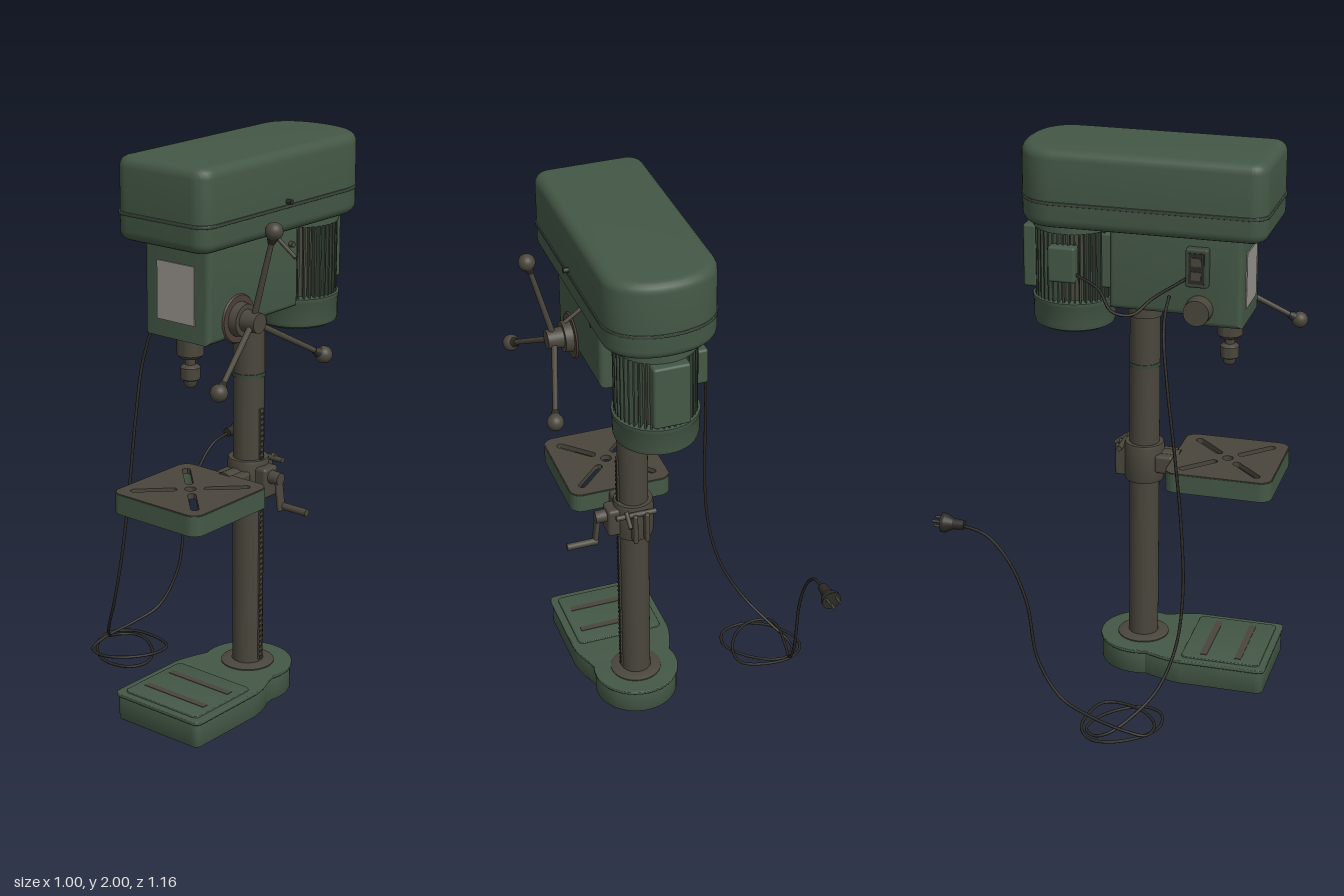
import * as THREE from 'three';
import { toCreasedNormals } from 'three/addons/utils/BufferGeometryUtils.js';
import { RoundedBoxGeometry } from 'three/addons/geometries/RoundedBoxGeometry.js';

const paint = (name, color) => Object.assign(new THREE.MeshStandardMaterial({ color }), { name });
const V = (x, y, z) => new THREE.Vector3(x, y, z);

export function createModel() {
  const green = paint('green enamel', 0x445846);
  const darkGreen = paint('dark green', 0x3b483b);
  const metal = paint('worn metal', 0x4a463c);
  const rust = paint('rust', 0x4d4037);
  const black = paint('black rubber', 0x2b2a26);
  const label = paint('label grey', 0x99948f);

  const model = new THREE.Group();
  model.name = 'drillPress';
  const machine = new THREE.Group();
  machine.name = 'machine';
  machine.position.x = 0.18;
  model.add(machine);

  const add = (name, geo, mat, x = 0, y = 0, z = 0, parent = machine) => {
    const m = new THREE.Mesh(geo, mat);
    m.name = name;
    m.position.set(x, y, z);
    parent.add(m);
    return m;
  };
  const box = (name, w, h, d, mat, x, y, z, r = 0) =>
    add(name, r ? new RoundedBoxGeometry(w, h, d, 3, r) : new THREE.BoxGeometry(w, h, d), mat, x, y, z);
  const rod = (name, a, b, r0, r1, mat, parent = machine, sides = 20) => {
    const d = b.clone().sub(a);
    const m = add(name, new THREE.CylinderGeometry(r1, r0, d.length(), sides), mat, 0, 0, 0, parent);
    m.position.copy(a).addScaledVector(d, 0.5);
    m.quaternion.setFromUnitVectors(V(0, 1, 0), d.normalize());
    return m;
  };
  const lathe = (name, pts, mat, x, y, z, sides = 40) => add(name, toCreasedNormals(
    new THREE.LatheGeometry(pts.map(p => new THREE.Vector2(...p)), sides), 0.6), mat, x, y, z);
  // Plan shape (x, z) extruded between two heights with rounded edges
  const slab = (name, shape, top, bottom, bevel, mat) => {
    const geo = new THREE.ExtrudeGeometry(shape, {
      depth: top - bottom - 2 * bevel, bevelEnabled: bevel > 0, bevelSize: bevel,
      bevelThickness: bevel, bevelOffset: -bevel, bevelSegments: 5, curveSegments: 16 });
    geo.rotateX(Math.PI / 2).translate(0, top - bevel, 0);
    return add(name, toCreasedNormals(geo, 0.6), mat);
  };
  const roundRect = (x0, x1, z0, z1, r, s = new THREE.Shape()) => {
    s.absarc(x1 - r, z0 + r, r, -Math.PI / 2, 0);
    s.absarc(x1 - r, z1 - r, r, 0, Math.PI / 2);
    s.absarc(x0 + r, z1 - r, r, Math.PI / 2, Math.PI);
    s.absarc(x0 + r, z0 + r, r, Math.PI, Math.PI * 1.5);
    s.closePath();
    return s;
  };
  const cz = 0.045; // column axis

  // Base: square front running into a round column foot
  const basePlan = (o) => {
    const s = new THREE.Shape(), w = 0.192 - o, f = 0.55 - o, r = 0.03;
    s.moveTo(-w, 0.24);
    s.lineTo(-w, f - r);
    s.quadraticCurveTo(-w, f, -w + r, f);
    s.lineTo(w - r, f);
    s.quadraticCurveTo(w, f, w, f - r);
    s.lineTo(w, 0.24);
    s.quadraticCurveTo(w, 0.19, 0.16 - o, 0.12);
    s.absarc(0, cz, 0.16 - o, 0.3, -Math.PI - 0.3, true);
    s.quadraticCurveTo(-w, 0.19, -w, 0.24);
    return s;
  };
  slab('base', basePlan(0.006), 0.092, 0, 0.004, green);
  slab('baseLip', basePlan(0), 0.1, 0.086, 0.004, green);
  slab('baseWorktop', roundRect(-0.165, 0.165, 0.23, 0.525, 0.02), 0.106, 0.095, 0.003, green);
  for (const z of [0.31, 0.44]) box('baseSlot', 0.27, 0.006, 0.025, metal, 0, 0.105, z);
  lathe('columnFoot', [[0.095, 0.095], [0.095, 0.104], [0.072, 0.112], [0.056, 0.112]], metal, 0, 0, cz);

  // Column, toothed rack and collars
  add('column', new THREE.CylinderGeometry(0.055, 0.055, 1.35, 40), metal, 0, 0.765, cz);
  add('columnCollar', new THREE.CylinderGeometry(0.058, 0.058, 0.014, 40), darkGreen, 0, 1.19, cz);
  add('columnSocket', new THREE.CylinderGeometry(0.062, 0.062, 0.07, 40), metal, 0, 1.41, cz);
  box('rack', 0.012, 0.95, 0.018, metal, 0.054, 0.595, cz);
  for (let y = 0.13; y < 1.07; y += 0.02) box('rackTooth', 0.004, 0.009, 0.017, black, 0.0605, y, cz);

  // Work table: slotted top with an open underside
  const tableTop = roundRect(-0.188, 0.188, 0.165, 0.55, 0.04);
  const tz = 0.357;
  for (let i = 0; i < 4; i++) {
    const a = Math.PI / 4 + i * Math.PI / 2, c = Math.cos(a), s = Math.sin(a), h = new THREE.Path();
    h.absarc(c * 0.19, tz + s * 0.19, 0.014, a - Math.PI / 2, a + Math.PI / 2);
    h.absarc(c * 0.06, tz + s * 0.06, 0.014, a + Math.PI / 2, a + Math.PI * 1.5);
    h.closePath();
    tableTop.holes.push(h);
  }
  tableTop.holes.push(new THREE.Path().absarc(0, tz, 0.02, 0, Math.PI * 2));
  slab('tableTop', tableTop, 0.85, 0.83, 0, metal);
  const rim = roundRect(-0.191, 0.191, 0.162, 0.553, 0.043);
  rim.holes.push(roundRect(-0.176, 0.176, 0.177, 0.538, 0.03, new THREE.Path()));
  slab('tableRim', rim, 0.847, 0.777, 0, green);
  rod('tableArm', V(0, 0.818, 0.09), V(0, 0.818, 0.18), 0.04, 0.04, metal);
  box('tableArmBlock', 0.11, 0.07, 0.07, metal, 0, 0.815, 0.13, 0.012);

  // Table bracket, crank and lock lever
  lathe('tableBracket', [[0.054, 0.74], [0.07, 0.74], [0.073, 0.75], [0.073, 0.875], [0.07, 0.885], [0.054, 0.885]], metal, 0, 0, cz);
  box('bracketGearHousing', 0.06, 0.11, 0.075, metal, 0.075, 0.81, cz, 0.012);
  rod('crankShaft', V(0.09, 0.83, cz), V(0.145, 0.83, cz), 0.025, 0.022, metal);
  const crankArm = box('crankArm', 0.016, 0.135, 0.034, metal, 0.14, 0.782, cz, 0.006);
  crankArm.rotation.z = 0.12;
  rod('crankHandle', V(0.14, 0.73, 0.037), V(0.255, 0.73, 0.037), 0.013, 0.013, metal);
  for (const x of [-0.022, 0.022]) box('clampEar', 0.016, 0.12, 0.045, metal, x, 0.81, -0.035, 0.005);
  rod('clampBolt', V(-0.06, 0.865, -0.035), V(0.09, 0.865, -0.035), 0.01, 0.01, metal);
  rod('clampLever', V(0.05, 0.88, -0.03), V(0.05, 0.842, -0.08), 0.008, 0.008, metal);

  // Belt cover with its seam band
  const coverPlan = (o) => {
    const s = new THREE.Shape(), w = 0.198 + o, f = 0.515 + o, b = -0.392 - o, r = 0.06;
    s.moveTo(-w, -0.24);
    s.bezierCurveTo(-w, -0.34, -0.11, b, 0, b);
    s.bezierCurveTo(0.11, b, w, -0.34, w, -0.24);
    s.lineTo(w, f - r);
    s.absarc(w - r, f - r, r, 0, Math.PI / 2);
    s.absarc(-w + r, f - r, r, Math.PI / 2, Math.PI);
    s.closePath();
    return s;
  };
  slab('beltCover', coverPlan(-0.002), 2, 1.72, 0.035, green);
  slab('coverSeam', coverPlan(0.002), 1.819, 1.807, 0.002, darkGreen);
  rod('coverLatch', V(0.19, 1.83, 0.09), V(0.215, 1.83, 0.09), 0.009, 0.009, black);

  // Head casting, side profile extruded across
  const head = new THREE.Shape();
  [[0.425, 1.74], [0.425, 1.395], [0.27, 1.395], [0.22, 1.432], [-0.05, 1.432], [-0.05, 1.74]]
    .forEach(([z, y], i) => (i ? head.lineTo(-z, y) : head.moveTo(-z, y)));
  const headGeo = new THREE.ExtrudeGeometry(head, { depth: 0.24, bevelSize: 0.02,
    bevelThickness: 0.02, bevelOffset: -0.02, bevelSegments: 4 });
  headGeo.translate(0, 0, -0.12).rotateY(Math.PI / 2);
  add('head', toCreasedNormals(headGeo, 0.6), green);
  box('namePlate', 0.16, 0.2, 0.006, label, 0, 1.555, 0.426);

  // Quill and chuck
  lathe('quillAndChuck', [[0, 1.215], [0.014, 1.215], [0.022, 1.225], [0.024, 1.24], [0.033, 1.245],
    [0.034, 1.285], [0.026, 1.292], [0.018, 1.295], [0.018, 1.315], [0.034, 1.318], [0.046, 1.33],
    [0.046, 1.4]], metal, 0, 0, 0.355, 32);

  // Feed handle: hub and three arms with ball grips
  const hz = 0.275, hy = 1.46;
  rod('hubRustRing', V(0.138, hy, hz), V(0.146, hy, hz), 0.085, 0.08, rust, machine, 32);
  rod('hubBoss', V(0.14, hy, hz), V(0.175, hy, hz), 0.06, 0.055, metal, machine, 32);
  rod('hub', V(0.17, hy, hz), V(0.232, hy, hz), 0.038, 0.034, metal, machine, 32);
  for (let i = 0; i < 3; i++) {
    const a = Math.PI / 2 + i * Math.PI * 2 / 3;
    const at = (r, x) => V(x, hy + Math.sin(a) * r, hz + Math.cos(a) * r);
    rod('feedArm', at(0.01, 0.205), at(0.3, 0.283), 0.011, 0.009, metal);
    rod('gripNeck', at(0.275, 0.276), at(0.3, 0.283), 0.012, 0.02, black);
    add('ballGrip', new THREE.SphereGeometry(0.03, 24, 16), metal).position.copy(at(0.318, 0.288));
  }
  rod('beltLever', V(0.13, 1.705, 0.075), V(0.222, 1.64, 0.075), 0.007, 0.007, metal);
  rod('lockScrew', V(0.13, 1.66, 0.0), V(0.155, 1.66, 0.0), 0.01, 0.01, metal);

  // Return spring housing and switch on the other side
  rod('springHousing', V(-0.13, hy, hz), V(-0.19, hy, hz), 0.05, 0.046, metal, machine, 32);
  box('switchBox', 0.04, 0.14, 0.08, darkGreen, -0.15, 1.615, 0.27, 0.008);
  box('switchPanel', 0.006, 0.11, 0.055, black, -0.17, 1.615, 0.27);
  for (const y of [1.59, 1.64]) box('switchButton', 0.008, 0.03, 0.035, metal, -0.173, y, 0.27);

  // Motor with cooling fins
  const mz = -0.215;
  lathe('motorEndCap', [[0, 1.325], [0.125, 1.325], [0.143, 1.335], [0.147, 1.35], [0.147, 1.415],
    [0.15, 1.42], [0.15, 1.435], [0.12, 1.44]], green, 0, 0, mz);
  add('motorCore', new THREE.CylinderGeometry(0.12, 0.12, 0.29, 40), metal, 0, 1.575, mz);
  lathe('motorTopCap', [[0.12, 1.69], [0.145, 1.69], [0.145, 1.73]], green, 0, 0, mz);
  for (let i = 0; i < 44; i++) {
    const a = i / 44 * Math.PI * 2;
    box('motorFin', 0.006, 0.255, 0.03, darkGreen, Math.sin(a) * 0.127, 1.564, mz + Math.cos(a) * 0.127).rotation.y = a;
  }
  box('motorMount', 0.13, 0.2, 0.08, green, 0, 1.58, -0.075, 0.008);
  box('motorBackPlate', 0.13, 0.23, 0.05, green, 0, 1.575, -0.363, 0.01);
  box('terminalBox', 0.05, 0.13, 0.1, green, -0.145, 1.585, mz, 0.01);

  // Power cord, floor coil and motor lead
  const cord = (name, pts, n) => add(name, new THREE.TubeGeometry(new THREE.CatmullRomCurve3(
    pts.map(p => V(...p))), n, 0.0055, 8), black, 0, 0, 0, model);
  cord('motorLead', [[0.04, 1.55, -0.18], [-0.02, 1.52, -0.07], [-0.065, 1.46, -0.01], [-0.05, 1.45, 0.06],
    [-0.01, 1.5, 0.12], [0.03, 1.57, 0.23]], 40);
  cord('powerCord', [[0.03, 1.5, 0.17], [-0.03, 1.46, 0.172], [-0.1, 1.4, 0.185], [-0.155, 1.22, 0.215],
    [-0.17, 1.0, 0.245], [-0.18, 0.72, 0.275], [-0.205, 0.48, 0.29], [-0.255, 0.29, 0.278],
    [-0.33, 0.15, 0.23], [-0.41, 0.06, 0.145], [-0.455, 0.02, 0.08], [-0.46, 0.008, 0.035],
    [-0.42, 0.006, -0.005], [-0.36, 0.006, 0], [-0.27, 0.006, 0.06], [-0.215, 0.006, 0.15],
    [-0.24, 0.006, 0.22], [-0.33, 0.006, 0.243], [-0.42, 0.008, 0.2], [-0.49, 0.01, 0.1],
    [-0.49, 0.01, 0.03], [-0.43, 0.012, -0.02], [-0.33, 0.014, -0.025], [-0.24, 0.016, 0.01],
    [-0.23, 0.016, 0.08], [-0.28, 0.018, 0.18], [-0.36, 0.018, 0.23], [-0.43, 0.02, 0.215],
    [-0.442, 0.035, 0.14], [-0.415, 0.06, 0], [-0.385, 0.1, -0.11], [-0.365, 0.23, -0.2],
    [-0.36, 0.45, -0.24], [-0.355, 0.6, -0.305], [-0.35, 0.69, -0.39], [-0.345, 0.716, -0.49]], 320);

  // Plug
  const px = -0.345, py = 0.716;
  rod('plugNeck', V(px, py, -0.47), V(px, py, -0.515), 0.017, 0.02, black, model);
  rod('plugFlare', V(px, py, -0.51), V(px, py, -0.54), 0.02, 0.035, black, model);
  rod('plugFace', V(px, py, -0.54), V(px, py, -0.552), 0.035, 0.035, black, model);
  for (const [x, y] of [[-0.018, 0.01], [0.018, 0.01], [0, -0.016]])
    rod('plugPin', V(px + x, py + y, -0.55), V(px + x, py + y, -0.583), 0.005, 0.005, metal, model, 10);
  return model;
}
